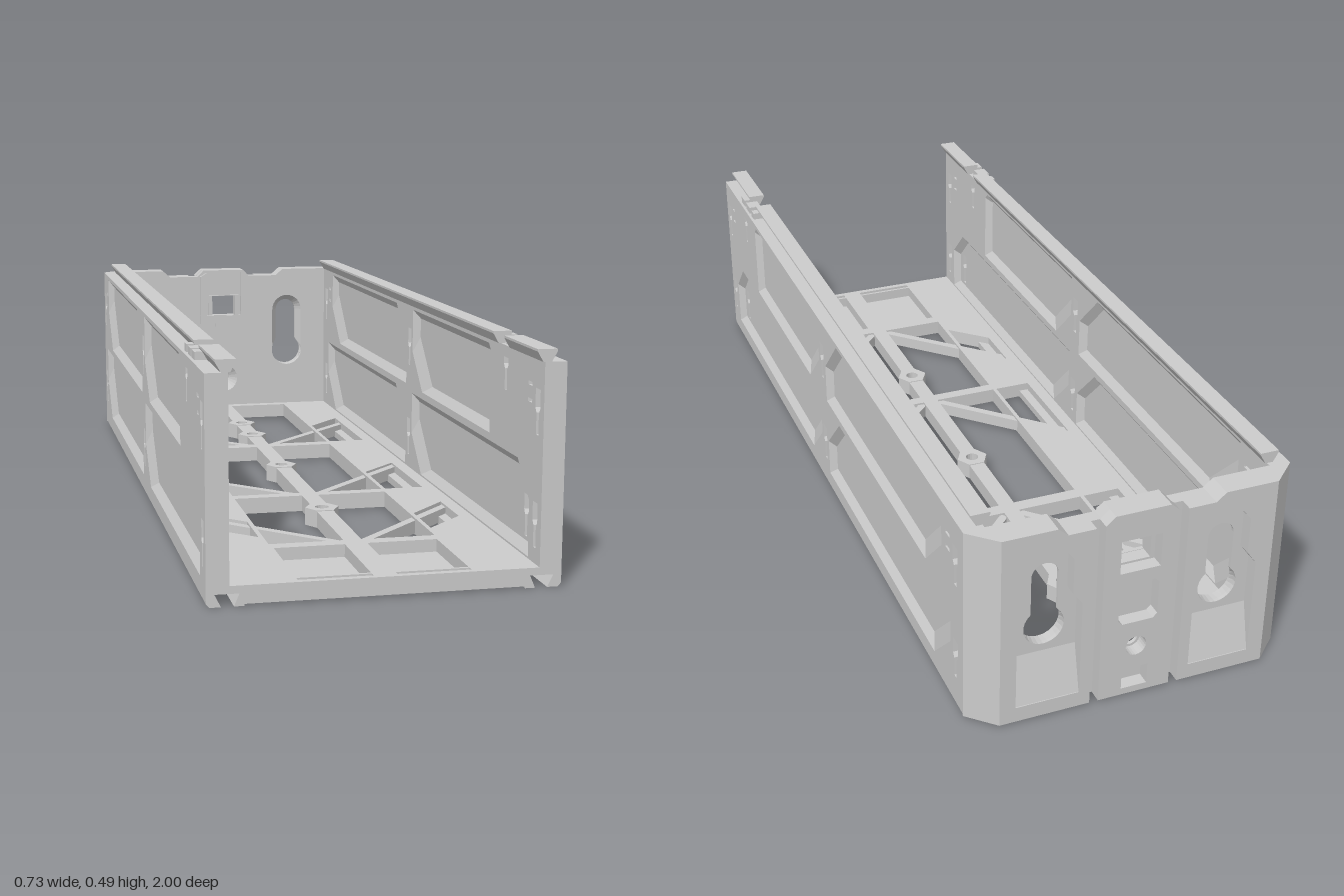
import * as THREE from 'three';
import { mergeGeometries } from 'three/addons/utils/BufferGeometryUtils.js';

const mat = new THREE.MeshStandardMaterial({ color: 0xcccccc, flatShading: true, side: THREE.DoubleSide });
const V = (a) => a.map(([x, y]) => new THREE.Vector2(x, y));
const rect = (x0, x1, y0, y1) => V([[x0, y0], [x1, y0], [x1, y1], [x0, y1]]);
const circle = (x, y, r, n = 24) => Array.from({ length: n }, (_, i) =>
  new THREE.Vector2(x + r * Math.cos(i * 2 * Math.PI / n), y + r * Math.sin(i * 2 * Math.PI / n)));
const mirrorX = (pts) => pts.map((p) => new THREE.Vector2(-p.x, p.y)).reverse();

function shape(outline, holes = []) {
  const s = new THREE.Shape(outline);
  s.holes = holes.map((h) => new THREE.Path(h));
  return s;
}
function mesh(parent, name, geometry) {
  const m = new THREE.Mesh(geometry, mat);
  m.name = name;
  parent.add(m);
  return m;
}
const extrude = (s, depth) => new THREE.ExtrudeGeometry(s, { depth, bevelEnabled: false, curveSegments: 12 });
// slab lying in xy between two z values
const slabZ = (outline, holes, z0, z1) => extrude(shape(outline, holes), z1 - z0).translate(0, 0, z0);
// slab lying in xz between two heights
const slabY = (outline, holes, y0, y1) => extrude(shape(outline, holes), y1 - y0).rotateX(Math.PI / 2).translate(0, y1, 0);
const box = (x0, x1, y0, y1, z0, z1) =>
  new THREE.BoxGeometry(x1 - x0, y1 - y0, z1 - z0).translate((x0 + x1) / 2, (y0 + y1) / 2, (z0 + z1) / 2);

// band of quads joining two closed loops drawn at two depths along z
function band(a, b, za, zb) {
  const pos = [];
  a.forEach((p, i) => {
    const j = (i + 1) % a.length, q = a[j], r = b[j], s = b[i];
    pos.push(p.x, p.y, za, q.x, q.y, za, r.x, r.y, zb, p.x, p.y, za, r.x, r.y, zb, s.x, s.y, zb);
  });
  const g = new THREE.BufferGeometry();
  g.setAttribute('position', new THREE.Float32BufferAttribute(pos, 3));
  g.computeVertexNormals();
  return g;
}
const face = (s, z) => {
  const g = new THREE.ShapeGeometry(s).toNonIndexed().translate(0, 0, z);
  g.deleteAttribute('uv');
  return g;
};

// side panel outline in (z, y): front-top and back-bottom corners are cut
const panel = (z0, z1, y0, y1, cf, cb) =>
  V([[z0 + cb, y0], [z1, y0], [z1, y1 - cf], [z1 - cf, y1], [z0, y1], [z0, y0 + cb]]);
const PANELS = [
  [0.06, 0.67, 0.257, 0.455, 0.015, 0.09], [-0.82, 0.005, 0.257, 0.455, 0.1, 0.1],
  [0.06, 0.93, 0.046, 0.24, 0.075, 0.09], [-0.87, 0.005, 0.046, 0.24, 0.1, 0.1],
];
// T-shaped slot
const slot = (z, y0, y1) => V([[z - 0.007, y0], [z + 0.007, y0], [z + 0.007, y0 + 0.045], [z + 0.014, y0 + 0.055],
  [z + 0.014, y1], [z - 0.014, y1], [z - 0.014, y0 + 0.055], [z - 0.007, y0 + 0.045]]);

function sideWall() {
  const wall = new THREE.Group();
  const X0 = 0.32, X1 = 0.367, D = 0.015, B = 0.02;
  const outline = rect(-0.94, 1, 0.042, 0.465);
  const slots = [];
  for (const z of [0.965, 0.033, -0.9]) slots.push(slot(z, 0.075, 0.17), slot(z, 0.31, 0.405));
  slots.push(slot(0.77, 0.37, 0.44));
  for (const z of [0.92, -0.855]) for (const y of [0.37, 0.405]) slots.push(rect(z - 0.012, z + 0.012, y, y + 0.008));
  const panelSlot = slot(0.875, 0.075, 0.165);
  const outer = PANELS.map((p) => panel(...p));
  const inner = PANELS.map(([z0, z1, y0, y1, cf, cb]) =>
    panel(z0 + B, z1 - B, y0 + B, y1 - B, Math.max(0.004, cf - 0.59 * B), cb + 0.02));
  const parts = [band(outline, outline, X0, X1), band(panelSlot, panelSlot, X0 + D, X1 - D)];
  slots.forEach((s) => parts.push(band(s, s, X0, X1)));
  for (const [x, d] of [[X1, -D], [X0, D]]) {
    parts.push(face(shape(outline, [...outer, ...slots]), x));
    outer.forEach((o, i) => parts.push(band(o, inner[i], x, x + d),
      face(shape(inner[i], i === 2 ? [panelSlot] : []), x + d)));
  }
  parts.forEach((g) => g.deleteAttribute('uv'));
  // (z, y, x) -> world
  mesh(wall, 'panelledWall', mergeGeometries(parts).rotateY(-Math.PI / 2).scale(-1, 1, 1));

  // bottom rail with dovetail groove
  mesh(wall, 'grooveRail', slabZ(V([[0.29, 0], [0.311, 0], [0.3, 0.026], [0.35, 0.026], [0.337, 0],
    [0.36, 0], [0.367, 0.008], [0.367, 0.042], [0.29, 0.042]]), [], -0.94, 1));
  // dovetail rail along the top edge
  const tail = V([[0.316, 0.465], [0.334, 0.465], [0.346, 0.486], [0.346, 0.491], [0.304, 0.491], [0.304, 0.486]]);
  for (const [a, b] of [[-0.93, 0.73], [0.8, 1]]) mesh(wall, 'dovetailRail', slabZ(tail, [], a, b));
  // latch between the two rail lengths
  for (const [a, b] of [[0.7, 0.725], [0.745, 0.785], [0.8, 0.835]])
    mesh(wall, 'latch', box(0.328, 0.36, 0.46, 0.482, a, b));
  // sloped corner post at the back
  mesh(wall, 'cornerPost', slabY(V([[0.3, -0.94], [0.367, -0.94], [0.367, -0.945], [0.308, -1], [0.3, -1]]), [], 0.004, 0.465));
  return wall;
}

function floor() {
  const g = new THREE.Group();
  const posts = [-0.63, -0.46, -0.05, 0.42];
  const half = [
    rect(0.02, 0.185, -0.91, -0.32), rect(0.02, 0.185, -0.285, 0.265), rect(0.02, 0.185, 0.295, 0.712),
    V([[0.289, -0.65], [0.289, -0.32], [0.195, -0.32], [0.195, -0.55]]),
    V([[0.289, -0.016], [0.289, 0.265], [0.195, 0.265], [0.195, 0.075]]),
    V([[0.289, 0.42], [0.289, 0.56], [0.195, 0.65], [0.195, 0.515]]),
    rect(0.025, 0.18, 0.972, 0.985),
  ];
  const pocket = rect(0.025, 0.18, 0.745, 0.965);
  const both = (list) => list.flatMap((h) => [h, mirrorX(h)]);
  const bores = posts.map((z) => circle(0, z, 0.016, 16));
  const outline = rect(-0.29, 0.29, -0.94, 1);
  mesh(g, 'floorBase', slabY(outline, [...both(half), ...bores], 0.004, 0.014));
  mesh(g, 'floorTop', slabY(outline, [...both([...half, pocket]), ...bores], 0.014, 0.042));
  // hexagonal screw bosses on the centre rib
  for (const z of posts)
    mesh(g, 'screwBoss', slabY(circle(0, z, 0.04, 6), [circle(0, z, 0.016, 16)], 0.003, 0.044));
  // diagonal braces and ledges beside the openings
  for (const s of [1, -1]) {
    for (const z of [-0.6, -0.01, 0.435]) {
      const dx = -0.28, dz = 0.275;
      const b = mesh(g, 'brace', new THREE.BoxGeometry(Math.hypot(dx, dz), 0.03, 0.02));
      b.position.set(s * (0.3 + dx / 2), 0.022, z + dz / 2);
      b.rotation.y = s * Math.PI / 4;
    }
    for (const [a, b] of [[-0.63, -0.32], [0.0, 0.265], [0.44, 0.58]])
      mesh(g, 'ledge', box(Math.min(s * 0.265, s * 0.29), Math.max(s * 0.265, s * 0.29), 0.004, 0.022, a, b));
  }
  return g;
}

// keyhole: round top slot of half width w, round entry of radius r
function keyhole(cx, w, r) {
  const a = Math.acos(w / r), n = 14, pts = [];
  for (let i = 0; i <= n; i++) {
    const t = Math.PI * i / n;
    pts.push(new THREE.Vector2(cx + w * Math.cos(t), 0.338 + w * Math.sin(t)));
  }
  for (let i = 0; i <= 20; i++) {
    const t = Math.PI - a + (Math.PI + 2 * a) * i / 20;
    pts.push(new THREE.Vector2(cx + r * Math.cos(t), 0.212 + r * Math.sin(t)));
  }
  return pts;
}

function backPlate() {
  const g = new THREE.Group();
  const right = [[0.3, 0.004], [0.3, 0.465], [0.187, 0.465], [0.165, 0.446], [0.08, 0.446], [0.062, 0.465]];
  const outline = V([...right, ...right.map(([x, y]) => [-x, y]).reverse()]);
  const window_ = rect(-0.036, 0.036, 0.325, 0.386);
  const big = [keyhole(0.2, 0.0455, 0.047), keyhole(-0.2, 0.0455, 0.047), circle(0, 0.127, 0.042)];
  const small = [keyhole(0.2, 0.03, 0.0455), keyhole(-0.2, 0.03, 0.0455), circle(0, 0.127, 0.018)];
  const zi = -0.94, zm = -0.962, zo = -0.97;
  const skin = [face(shape(outline, [...big, window_]), zi), band(outline, outline, zi, zm), band(window_, window_, zi, zm)];
  big.forEach((b, i) => skin.push(band(b, small[i], zi, zm)));
  mesh(g, 'innerPlate', mergeGeometries(skin));
  mesh(g, 'middlePlate', slabZ(outline, [...small, window_], zo, zm));
  // outer relief: two pocketed pads and the centre column
  for (const s of [1, -1]) {
    const pad = V([[0.103, 0.004], [0.3, 0.004], [0.3, 0.465], [0.187, 0.465], [0.165, 0.446], [0.103, 0.446]]);
    const hole = V([[0.128, 0.04], [0.272, 0.04], [0.272, 0.27], [0.25, 0.3], [0.25, 0.385], [0.23, 0.41],
      [0.17, 0.41], [0.15, 0.385], [0.15, 0.3], [0.128, 0.27]]);
    const f = (p) => (s > 0 ? p : mirrorX(p));
    mesh(g, 'outerPad', slabZ(f(pad), [f(hole)], -1, zo));
    // wedge at the foot of the pocket
    mesh(g, 'pocketWedge', extrude(shape(V([[0, 0.04], [0.028, 0.04], [0, 0.15]])), 0.144)
      .rotateY(Math.PI / 2).translate(s * 0.2 - 0.072, 0, zo));
  }
  mesh(g, 'centreColumn', slabZ(V([[-0.083, 0.004], [0.083, 0.004], [0.083, 0.446], [0.062, 0.465], [-0.062, 0.465], [-0.083, 0.446]]),
    [rect(-0.046, 0.046, 0.32, 0.4), V([[-0.045, 0.2], [-0.035, 0.19], [0.035, 0.19], [0.045, 0.2], [0.045, 0.28],
      [0.035, 0.29], [-0.035, 0.29], [-0.045, 0.28]]), circle(0, 0.127, 0.024), rect(-0.03, 0.03, 0.02, 0.07)], -1, zo));
  // clip frame around the window on the inside
  mesh(g, 'clipFrame', slabZ(V([[-0.073, 0.3], [0.073, 0.3], [0.073, 0.446], [0.053, 0.458], [0.053, 0.325], [-0.053, 0.325],
    [-0.053, 0.458], [-0.073, 0.446]]), [], zi, -0.93));
  mesh(g, 'windowFrame', slabZ(rect(-0.047, 0.047, 0.325, 0.388), [rect(-0.036, 0.036, 0.326, 0.386)], zi, -0.934));
  mesh(g, 'clipTab', box(-0.027, 0.027, 0.29, 0.3, zi, -0.93));
  return g;
}

export function createModel() {
  const model = new THREE.Group();
  const left = sideWall();
  left.name = 'leftWall';
  const right = sideWall();
  right.name = 'rightWall';
  right.scale.x = -1;
  const base = floor();
  base.name = 'floor';
  const back = backPlate();
  back.name = 'backPlate';
  model.add(left, right, base, back);
  return model;
}
